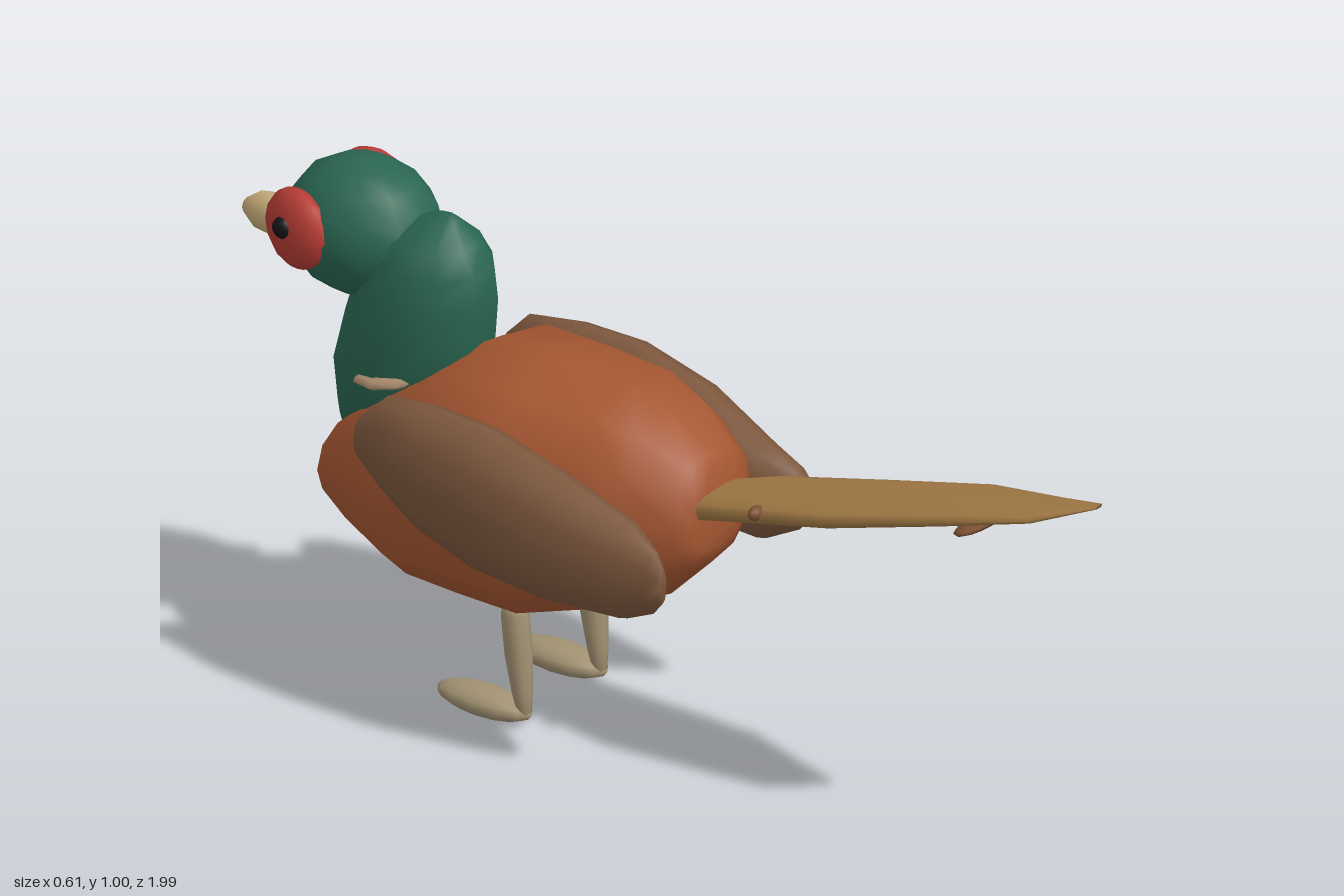
import * as THREE from 'three';

const mat = (name, color) => {
  const m = new THREE.MeshStandardMaterial({ color });
  m.name = name;
  return m;
};

// Closed smooth skin along z; sections are [z, yLow, yHigh, xLow, xHigh]
function loft(sections, sides = 12, power = 2) {
  const pos = [], index = [];
  const curve = (v) => Math.sign(v) * Math.abs(v) ** (2 / power);
  for (const [z, y0, y1, x0, x1] of sections) {
    for (let i = 0; i < sides; i++) {
      const a = (i / sides) * Math.PI * 2;
      pos.push((x0 + x1) / 2 + ((x1 - x0) / 2) * curve(Math.cos(a)),
        (y0 + y1) / 2 + ((y1 - y0) / 2) * curve(Math.sin(a)), z);
    }
  }
  const rows = sections.length;
  for (let r = 0; r < rows - 1; r++) {
    for (let i = 0; i < sides; i++) {
      const j = (i + 1) % sides, a = r * sides, b = a + sides;
      index.push(a + i, a + j, b + j, a + i, b + j, b + i);
    }
  }
  // End caps
  const last = (rows - 1) * sides;
  for (let i = 1; i < sides - 1; i++) {
    index.push(0, i + 1, i, last, last + i, last + i + 1);
  }
  const g = new THREE.BufferGeometry();
  g.setAttribute('position', new THREE.Float32BufferAttribute(pos, 3));
  g.setIndex(index);
  g.computeVertexNormals();
  return g;
}

export function createModel() {
  const model = new THREE.Group();
  model.name = 'bird';

  const chestnut = mat('chestnut', 0xa65732);
  const brown = mat('wing brown', 0x7c573d);
  const green = mat('dark green', 0x2a6651);
  const red = mat('red', 0xb53c34);
  const black = mat('black', 0x141414);
  const horn = mat('beak tan', 0xcbb07c);
  const grey = mat('leg tan', 0xa29273);
  const gold = mat('tail gold', 0xa27a45);
  const bar = mat('tail bar brown', 0x7a4e30);
  const collarTan = mat('collar tan', 0xa88a6c);

  const add = (name, geometry, material) => {
    const m = new THREE.Mesh(geometry, material);
    m.name = name;
    model.add(m);
    return m;
  };
  const blob = (name, material, [x, y, z], [rx, ry, rz]) => {
    const m = add(name, new THREE.SphereGeometry(1, 12, 8).scale(rx, ry, rz), material);
    m.position.set(x, y, z);
    return m;
  };

  // Body, from the sloping chest to the rump
  const body = [
    [-0.745, 0.36, 0.455, 0.10], [-0.73, 0.32, 0.485, 0.135], [-0.65, 0.27, 0.565, 0.175],
    [-0.53, 0.218, 0.65, 0.225], [-0.4, 0.218, 0.73, 0.25], [-0.26, 0.218, 0.73, 0.25],
    [-0.09, 0.275, 0.73, 0.215], [0, 0.315, 0.70, 0.18], [0.095, 0.41, 0.64, 0.12],
    [0.115, 0.45, 0.57, 0.08],
  ].map(([z, lo, hi, r]) => [z, lo, hi, -r, r]);
  add('body', loft(body, 12, 2.3), chestnut);

  // Neck, lofted upward: [y, back z, front z, half width]
  const neck = [
    [0.45, -0.71, -0.762, 0.035], [0.5, -0.55, -0.77, 0.09], [0.59, -0.46, -0.774, 0.124],
    [0.7, -0.437, -0.745, 0.127], [0.78, -0.43, -0.72, 0.122], [0.845, -0.435, -0.69, 0.105],
    [0.89, -0.465, -0.66, 0.085], [0.935, -0.505, -0.57, 0.025],
  ].map(([y, back, front, r]) => [y, -back, -front, -r, r]);
  add('neck', loft(neck, 10).rotateX(-Math.PI / 2), green);

  // Pale collar showing at both sides of the neck
  const collar = blob('collar', collarTan, [0, 0.618, -0.6], [0.15, 0.022, 0.1]);
  collar.rotation.x = -0.18;

  blob('head', green, [0, 0.865, -0.725], [0.135, 0.137, 0.16]);

  // Beak
  const beak = [
    [-1, 0.805, 0.835, 0.015], [-0.965, 0.782, 0.86, 0.034], [-0.9, 0.78, 0.868, 0.048],
    [-0.84, 0.795, 0.855, 0.04],
  ].map(([z, lo, hi, r]) => [z, lo, hi, -r, r]);
  add('beak', loft(beak, 8), horn);

  // Wing, thick in the middle and blunt at both ends
  const wing = loft([
    [-0.56, 0.52, 0.60, 0.205, 0.245], [-0.5, 0.465, 0.66, 0.165, 0.265],
    [-0.4, 0.415, 0.672, 0.15, 0.295], [-0.265, 0.375, 0.672, 0.152, 0.305],
    [-0.1, 0.362, 0.63, 0.152, 0.303], [0.06, 0.365, 0.565, 0.155, 0.268],
    [0.13, 0.4, 0.53, 0.195, 0.25], [0.155, 0.43, 0.50, 0.215, 0.24],
  ], 12, 2.1);
  const leg = new THREE.LatheGeometry([
    [0, 0], [0.012, 0], [0.02, 0.05], [0.027, 0.13], [0.027, 0.21], [0.022, 0.235], [0, 0.24],
  ].map(([r, y]) => new THREE.Vector2(r, y)), 8);

  // Paired parts, mirrored across x
  for (const [label, s] of [['left', 1], ['right', -1]]) {
    const wingGeo = wing.clone();
    if (s < 0) {
      wingGeo.scale(-1, 1, 1);
      wingGeo.index.array.reverse();
      wingGeo.computeVertexNormals();
    }
    add(label + 'Wing', wingGeo, brown);

    const eye = blob(label + 'EyePatch', red, [s * 0.111, 0.877, -0.795], [0.042, 0.08, 0.082]);
    eye.rotation.y = s * 0.25;
    blob(label + 'Pupil', black, [s * 0.145, 0.889, -0.803], [0.018, 0.022, 0.022]);

    const shin = add(label + 'Leg', leg, grey);
    shin.position.set(s * 0.115, 0.025, -0.256);
    shin.rotation.x = -0.11;
    blob(label + 'Foot', grey, [s * 0.115, 0.032, -0.35], [0.044, 0.028, 0.11]);
  }

  // Long lens-section tail: [z, half thickness, left edge, right edge], sloped upward
  const rise = (z) => 0.513 + 0.28 * z;
  const tail = [
    [0, 0.028, -0.05, 0.05], [0.07, 0.028, -0.07, 0.07], [0.19, 0.027, -0.08, 0.1],
    [0.44, 0.024, -0.105, 0.102], [0.69, 0.019, -0.085, 0.1], [0.89, 0.011, -0.065, 0.052],
    [0.99, 0.004, 0.01, 0.032],
  ].map(([z, h, x0, x1]) => [z, rise(z) - h, rise(z) + h, x0, x1]);
  add('tail', loft(tail, 12, 2.6), gold);

  // Small raised feather bars on the tail
  const under = blob('tailUnderBar', bar, [0, 0.688, 0.73], [0.076, 0.012, 0.032]);
  under.rotation.x = -0.27;
  const side = blob('tailSideBar', bar, [-0.085, rise(0.265) + 0.01, 0.265], [0.02, 0.014, 0.012]);
  side.rotation.x = -0.27;

  return model;
}
